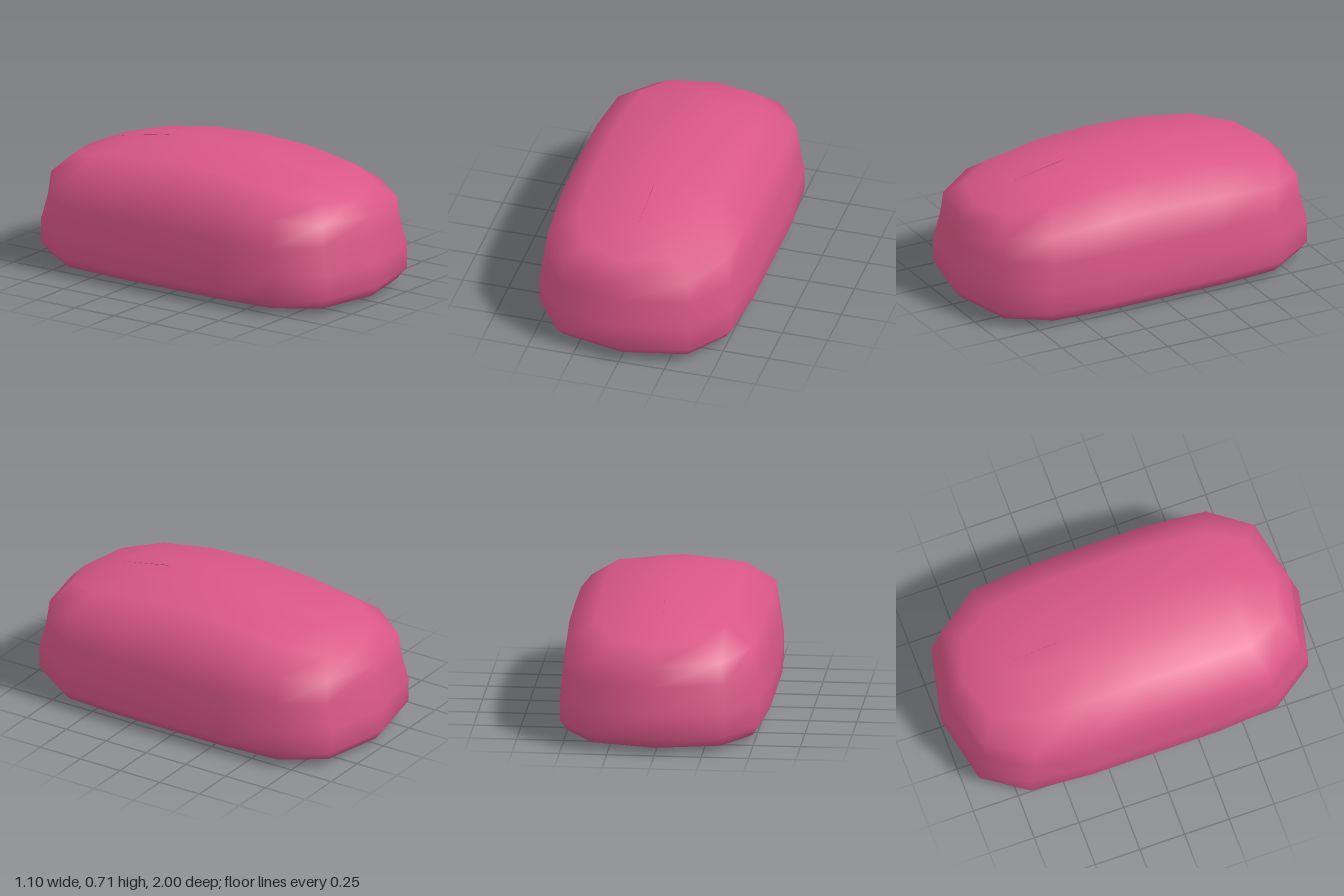
import * as THREE from 'three';
import { mergeVertices } from 'three/addons/utils/BufferGeometryUtils.js';

// One quarter of the plan outline, from the front centre to the left side (unit size).
const quarter = [[0, 1], [0.665, 0.92], [0.955, 0.69], [1, 0.35], [1, 0]];

// Rings from the underside to the crown: half width, half length, height at the ends, height at the sides.
const rings = [
  [0, 0, 0, 0],
  [0.355, 0.87, 0.008, 0.008],
  [0.51, 0.95, 0.03, 0.03],
  [0.55, 1, 0.09, 0.09],
  [0.55, 1, 0.22, 0.22],
  [0.534, 0.96, 0.36, 0.36],
  [0.51, 0.95, 0.47, 0.545],
  [0.355, 0.87, 0.55, 0.67],
  [0.12, 0.67, 0.63, 0.69],
  [0, 0.36, 0.69, 0.71],
];

// Mirror the quarter into a closed loop, counterclockwise from above.
function planOutline() {
  const half = [...quarter, ...quarter.slice(0, -1).reverse().map(([x, z]) => [x, -z])];
  return [...half, ...half.slice(1, -1).reverse().map(([x, z]) => [-x, z])];
}

function bodyGeometry() {
  const outline = planOutline();
  const n = outline.length;
  const positions = [];
  const index = [];
  // Each ring rises from its ends towards the middle
  for (const [w, l, yEnd, ySide] of rings) {
    for (const [x, z] of outline) {
      positions.push(x * w, yEnd + (ySide - yEnd) * (1 - z * z), z * l);
    }
  }
  for (let j = 0; j < rings.length - 1; j++) {
    for (let i = 0; i < n; i++) {
      const a = j * n + i;
      const b = j * n + (i + 1) % n;
      index.push(a, b, b + n, a, b + n, a + n);
    }
  }
  const geometry = new THREE.BufferGeometry();
  geometry.setAttribute('position', new THREE.Float32BufferAttribute(positions, 3));
  geometry.setIndex(index);
  // Weld the centre of the base and the crown line, then smooth
  const welded = mergeVertices(geometry, 1e-4);
  welded.computeVertexNormals();
  return welded;
}

export function createModel() {
  const group = new THREE.Group();
  group.name = 'roundedBar';
  const pink = new THREE.MeshStandardMaterial({ color: 0xd95785 });
  pink.name = 'pink';
  const body = new THREE.Mesh(bodyGeometry(), pink);
  body.name = 'body';
  group.add(body);
  return group;
}
